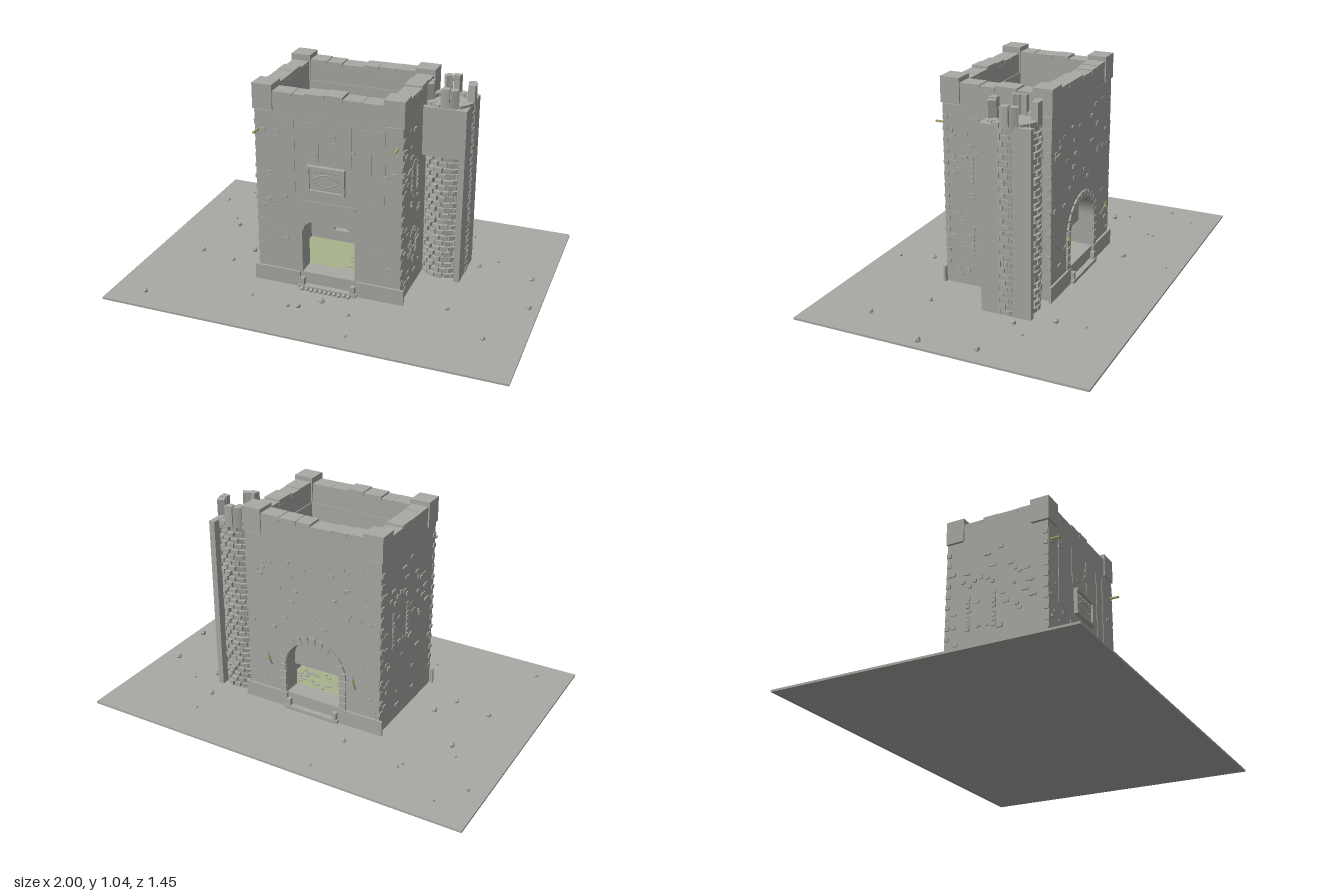
import * as THREE from 'three';

const mat = (name, color, side = THREE.FrontSide) => {
  const m = new THREE.MeshStandardMaterial({ color, side });
  m.name = name;
  return m;
};

export function createModel() {
  const model = new THREE.Group();
  model.name = 'ruinedGatehouse';
  const stone = mat('grey stone', 0xa9a9a5);
  const grass = mat('pale green floor', 0xa8b28c);
  const brass = mat('dull brass', 0xb0a66c);

  let seed = 7;
  const rnd = (a = 0, b = 1) => {
    seed = (seed * 16807) % 2147483647;
    return a + (b - a) * (seed / 2147483647);
  };
  const part = (name, parent = model) => {
    const g = new THREE.Group();
    g.name = name;
    parent.add(g);
    return g;
  };
  const add = (parent, name, geo, x, y, z, m = stone) => {
    const mesh = new THREE.Mesh(geo, m);
    mesh.name = name;
    mesh.position.set(x, y, z);
    parent.add(mesh);
    return mesh;
  };
  // Box given by its minimum and maximum corners
  const block = (parent, name, x0, x1, y0, y1, z0, z1, m = stone) =>
    add(parent, name, new THREE.BoxGeometry(x1 - x0, y1 - y0, z1 - z0),
      (x0 + x1) / 2, (y0 + y1) / 2, (z0 + z1) / 2, m);

  // Ground and inner floor
  block(model, 'ground', -1, 1, 0, 0.01, -0.727, 0.722);
  block(model, 'innerFloor', -0.28, 0.275, 0.01, 0.03, -0.185, 0.185, grass);
  const floorStones = part('floorStones');
  for (let i = 0; i < 45; i++) {
    const x = rnd(-0.02, 0.25), z = rnd(-0.17, 0.16), w = rnd(0.01, 0.035);
    block(floorStones, 'floorStone', x, x + w, 0.025, 0.034, z, z + rnd(0.006, 0.015));
  }

  // Front and back walls with their gateways
  const wallShape = (hole) => {
    const s = new THREE.Shape([[-0.365, 0], [0.365, 0], [0.365, 0.91], [-0.365, 0.91]]
      .map(p => new THREE.Vector2(...p)));
    s.holes.push(hole);
    return new THREE.ExtrudeGeometry(s, { depth: 0.09, bevelEnabled: false, curveSegments: 16 });
  };
  const gate = new THREE.Path([[-0.135, 0.09], [-0.135, 0.31], [-0.12, 0.345], [-0.095, 0.365],
    [0.095, 0.365], [0.12, 0.345], [0.135, 0.31], [0.135, 0.09]].map(p => new THREE.Vector2(...p)));
  const arch = new THREE.Path();
  arch.moveTo(-0.15, 0.09);
  arch.lineTo(-0.15, 0.25);
  arch.absarc(0, 0.25, 0.15, Math.PI, 0, true);
  arch.lineTo(0.15, 0.09);
  arch.lineTo(-0.15, 0.09);
  add(model, 'frontWall', wallShape(gate), 0, 0, 0.185);
  add(model, 'backWall', wallShape(arch), 0, 0, -0.275);
  block(model, 'rightWall', -0.365, -0.28, 0, 0.91, -0.185, 0.185);
  block(model, 'leftWall', 0.275, 0.365, 0, 0.91, -0.185, 0.185);
  block(model, 'raisedGate', -0.17, 0.17, 0.215, 0.42, -0.2, -0.185);

  // Arch stones around the back gateway
  const archStones = part('archStones');
  for (let i = 0; i < 13; i++) {
    const a = Math.PI * (i + 0.5) / 13;
    const s = add(archStones, 'archStone', new THREE.BoxGeometry(0.035, 0.036, 0.014),
      Math.cos(a) * 0.168, 0.25 + Math.sin(a) * 0.168, -0.277);
    s.rotation.z = a;
  }
  for (const side of [-1, 1]) for (let i = 0; i < 4; i++)
    add(archStones, 'jambStone', new THREE.BoxGeometry(0.035, 0.035, 0.014), side * 0.168, 0.11 + i * 0.04, -0.277);

  // Plinths, thresholds and posts
  for (const s of [-1, 1]) {
    for (const side of [-1, 1]) {
      add(model, 'plinth', new THREE.BoxGeometry(0.24, 0.08, 0.012), side * 0.265, 0.05, s * 0.28);
      add(model, 'gatePost', new THREE.BoxGeometry(0.022, 0.055, 0.022), side * 0.13, 0.0375, s * 0.288);
    }
    add(model, 'threshold', new THREE.BoxGeometry(0.3, 0.018, 0.03), 0, 0.019, s * 0.288);
  }
  for (let i = 0; i < 11; i++)
    add(model, 'cobble', new THREE.DodecahedronGeometry(0.013), -0.125 + i * 0.024, 0.014, 0.308 + rnd(0, 0.008));

  // Parapet: low walls, coping stones and corner blocks
  const parapet = part('parapet');
  const coping = (alongX, from, to, lo, hi, n) => {
    const bounds = [];
    for (let i = 0; i <= n; i++) bounds.push(from + (to - from) * (i + (i % n ? rnd(-0.2, 0.2) : 0)) / n);
    for (let i = 0; i < n; i++) {
      const a = bounds[i] + 0.001, b = bounds[i + 1] - 0.001, t = rnd(1.008, 1.022);
      if (alongX) block(parapet, 'copingStone', a, b, 0.99, t, lo, hi);
      else block(parapet, 'copingStone', lo, hi, 0.99, t, a, b);
    }
  };
  for (const s of [-1, 1]) {
    add(parapet, 'parapetWall', new THREE.BoxGeometry(0.56, 0.09, 0.085), 0, 0.95, s * 0.232);
    add(parapet, 'parapetWall', new THREE.BoxGeometry(0.085, 0.09, 0.38), s * 0.322, 0.95, 0);
    coping(true, -0.28, 0.275, s > 0 ? 0.19 : -0.275, s > 0 ? 0.275 : -0.19, 6);
    coping(false, -0.185, 0.185, s > 0 ? 0.28 : -0.365, s > 0 ? 0.365 : -0.28, 4);
    for (const side of [-1, 1])
      add(parapet, 'cornerBlock', new THREE.BoxGeometry(0.1, 0.125, 0.098), side * 0.322, 0.9775, s * 0.232);
  }

  // Raised strips and lintel on the front
  const relief = part('frontRelief');
  for (const [x, w, y0, y1] of [[-0.215, 0.1, 0.52, 0.88], [-0.08, 0.075, 0.69, 0.88],
    [0.08, 0.075, 0.69, 0.88], [0.19, 0.05, 0.52, 0.88], [0.26, 0.045, 0.52, 0.88]])
    block(relief, 'reliefStrip', x - w / 2, x + w / 2, y0, y1, 0.274, 0.278);
  block(relief, 'lintel', -0.145, 0.14, 0.37, 0.48, 0.274, 0.279);

  // Framed carving with a pointed oval
  const plaque = part('plaque');
  block(plaque, 'plaqueBack', -0.098, 0.088, 0.535, 0.67, 0.274, 0.284);
  for (const y of [0.535, 0.657]) block(plaque, 'plaqueRail', -0.1, 0.09, y, y + 0.013, 0.275, 0.298);
  for (const x of [-0.1, 0.077]) block(plaque, 'plaqueStile', x, x + 0.013, 0.535, 0.67, 0.275, 0.294);
  for (const s of [-1, 1]) {
    const curve = new THREE.QuadraticBezierCurve3(new THREE.Vector3(-0.065, 0, 0),
      new THREE.Vector3(0, s * 0.06, 0), new THREE.Vector3(0.065, 0, 0));
    add(plaque, 'carvedRim', new THREE.TubeGeometry(curve, 12, 0.004, 5), -0.005, 0.6, 0.286);
    for (let i = 0; i < 9; i++)
      add(plaque, 'carvedBead', new THREE.BoxGeometry(0.008, 0.008, 0.008), -0.062 + i * 0.0145, 0.6 + s * 0.044, 0.286);
  }

  // Brass rods at the front corners, torches at the back
  for (const x of [-0.35, 0.34]) block(model, 'rod', x - 0.005, x + 0.005, 0.807, 0.815, 0.27, 0.326, brass);
  for (const x of [-0.24, 0.23]) {
    const t = add(model, 'torchHandle', new THREE.CylinderGeometry(0.004, 0.004, 0.06, 6), x, 0.255, -0.295);
    t.rotation.x = -0.45;
    add(model, 'torchHead', new THREE.ConeGeometry(0.009, 0.04, 6), x, 0.295, -0.309, brass);
  }

  // Loose bricks standing slightly proud of the walls
  const bricks = part('wallBricks');
  const brick = (axis, s, u, y, w, h) => {
    const d = rnd(0.006, 0.014);
    if (axis === 'z') add(bricks, 'brick', new THREE.BoxGeometry(w, h, d), u, y, s * 0.275);
    else add(bricks, 'brick', new THREE.BoxGeometry(d, h, w), s * 0.365, y, u);
  };
  for (const s of [-1, 1]) {
    for (let i = 0; i < 50; i++) {
      const u = rnd(-0.34, 0.34), y = rnd(0.12, 0.88);
      if (Math.abs(u) > 0.21 || y > (s > 0 ? 0.7 : 0.47)) brick('z', s, u, y, rnd(0.012, 0.035), rnd(0.008, 0.016));
    }
    for (let i = 0; i < 42; i++)
      brick('x', s, rnd(s > 0 ? 0 : -0.25, 0.25), rnd(0.06, 0.88), rnd(0.012, 0.04), rnd(0.008, 0.016));
    // Toothed bricks along the corners
    for (let i = 0; i < 14; i++) {
      brick('x', s, 0.262, 0.12 + i * 0.056, 0.024, 0.02);
      brick('x', s, -0.262, 0.12 + i * 0.056, 0.024, 0.02);
    }
  }

  // Brick outlines of blocked windows on both sides
  const windowBricks = (s, z, y0, y1, r) => {
    for (let y = y0; y < y1; y += 0.024) for (const e of [-1, 1]) brick('x', s, z + e * r, y, 0.02, 0.017);
    for (let i = 1; i < 6; i++) {
      const a = i * Math.PI / 6;
      brick('x', s, z + Math.cos(a) * r, y1 + Math.sin(a) * r, 0.018, 0.018);
    }
  };
  windowBricks(-1, -0.08, 0.43, 0.62, 0.07);
  windowBricks(1, 0.09, 0.54, 0.64, 0.04);
  windowBricks(1, 0.09, 0.2, 0.29, 0.04);

  // Round stair turret: stone courses behind plain outer faces
  const turret = part('turret');
  const cx = 0.465, cz = -0.145;
  add(turret, 'turretCore', new THREE.CylinderGeometry(0.102, 0.102, 0.91, 24), cx, 0.455, cz);
  block(turret, 'turretOuterFace', 0.545, 0.575, 0, 0.915, -0.27, -0.02);
  block(turret, 'turretUpperFace', 0.36, 0.546, 0.67, 0.915, -0.045, -0.02);
  for (let row = 0; row < 30; row++) for (let i = 0; i < 16; i++) {
    const a = (i + (row % 2) * 0.5 + rnd(-0.1, 0.1)) * Math.PI / 8;
    const s = add(turret, 'turretStone', new THREE.BoxGeometry(rnd(0.03, 0.042), rnd(0.018, 0.027), 0.03),
      cx + Math.sin(a) * 0.1, 0.025 + row * 0.03, cz + Math.cos(a) * rnd(0.098, 0.106));
    s.rotation.y = a;
  }
  // Ring of wedge stones with alternate merlons
  const wedge = (h) => {
    const s = new THREE.Shape(), half = Math.PI / 16 - 0.02;
    s.absarc(0, 0, 0.12, -half, half, false);
    s.absarc(0, 0, 0.084, half, -half, true);
    s.closePath();
    return new THREE.ExtrudeGeometry(s, { depth: h, bevelEnabled: false, curveSegments: 2 }).rotateX(-Math.PI / 2);
  };
  for (let i = 0; i < 16; i++) {
    const w = add(turret, 'merlon', wedge(i % 4 < 2 ? rnd(0.098, 0.108) : 0.022), cx, 0.905, cz);
    w.rotation.y = i * Math.PI / 8;
  }

  // Scattered rubble
  const rubble = part('rubble');
  for (const [x, z] of [[-0.91, -0.46], [-0.81, -0.6], [-0.56, -0.46], [-0.57, -0.43], [-0.76, -0.26], [-0.71, -0.19],
    [-0.25, -0.41], [-0.21, -0.65], [0.53, -0.52], [0.54, -0.38], [0.71, -0.29], [0.63, -0.21], [0.91, -0.17],
    [0.95, 0.1], [0.59, 0.24], [0.81, 0.43], [0.22, 0.63], [0.17, 0.46], [0.01, 0.39], [-0.13, 0.48], [-0.08, 0.47],
    [-0.33, 0.45], [-0.57, 0.17], [-0.51, 0.04], [-0.76, 0.13], [-0.83, 0.6]]) {
    const r = rnd(0.007, 0.016);
    const p = add(rubble, 'rubbleStone', new THREE.DodecahedronGeometry(r), x, 0.01 + r * 0.5, z);
    p.rotation.set(rnd(0, 3), rnd(0, 3), 0);
  }
  return model;
}
